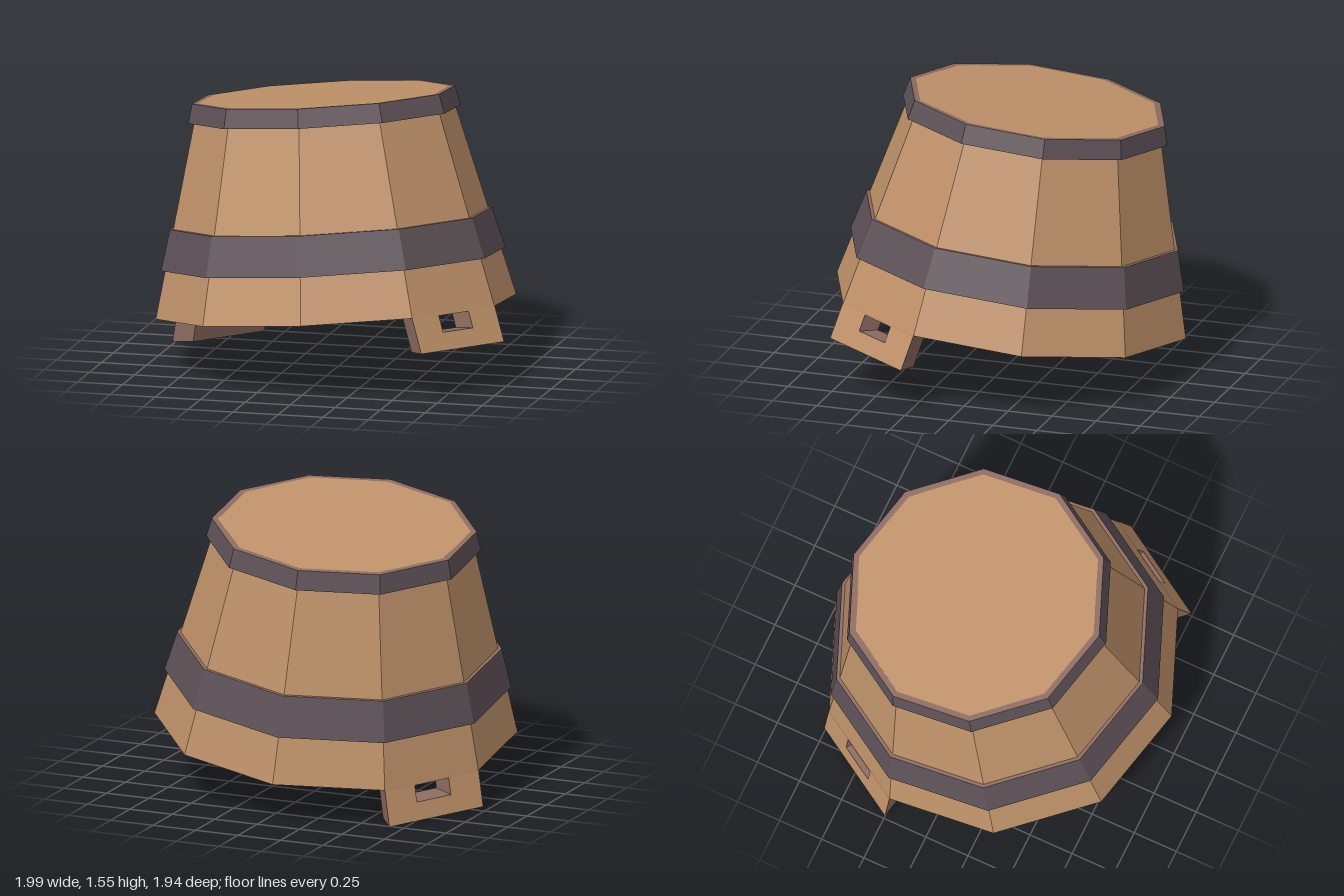
import * as THREE from 'three';

const SIDES = 10;
const START = THREE.MathUtils.degToRad(4);
const HEIGHT = 1.145;
const R_BOTTOM = 0.976;
const R_TOP = 0.68;

function makeMaterial(name, color) {
  const m = new THREE.MeshStandardMaterial({ color, flatShading: true });
  m.name = name;
  return m;
}

export function createModel() {
  const wood = makeMaterial('wood', 0xc0926a);
  const innerWood = makeMaterial('inner wood', 0x8e6b60);
  const iron = makeMaterial('iron', 0x5e5258);

  // Upturned bucket, leaning slightly to the back right
  const bucket = new THREE.Group();
  bucket.name = 'bucket';
  bucket.position.set(-0.015, 0.325, -0.005);
  bucket.quaternion.setFromUnitVectors(
    new THREE.Vector3(0, 1, 0),
    new THREE.Vector3(-0.088, 1, -0.1).normalize()
  );

  function add(name, geometry, material, parent = bucket) {
    const mesh = new THREE.Mesh(geometry, material);
    mesh.name = name;
    parent.add(mesh);
    return mesh;
  }

  // Ten-sided faceted ring from a [radius, height] profile
  function ring(name, profile, material) {
    const points = profile.map(([r, h]) => new THREE.Vector2(r, h));
    const geo = new THREE.LatheGeometry(points, SIDES, START, Math.PI * 2).toNonIndexed();
    geo.computeVertexNormals();
    return add(name, geo, material);
  }

  // Staves, closed base on top and hollow inside
  ring('staves', [[R_BOTTOM, 0], [R_TOP, HEIGHT]], wood);
  ring('base', [[R_TOP, HEIGHT], [0, HEIGHT]], wood);
  ring('inside', [[0, 1.08], [0.57, 1.08], [0.85, 0], [R_BOTTOM, 0]], innerWood);

  // Hoops: iron band with a paler upper edge
  function hoop(name, h0, r0, h1, r1) {
    const body = (h) => R_BOTTOM + (R_TOP - R_BOTTOM) * h / HEIGHT - 0.005;
    ring(name, [[body(h0), h0], [r0, h0], [r1, h1]], iron);
    ring(name + 'Edge', [[r1, h1], [body(h1), h1]], innerWood);
  }
  hoop('wideHoop', 0.257, 0.932, 0.476, 0.872);
  hoop('narrowHoop', 1.04, 0.738, HEIGHT, 0.712);

  // Handle lugs: long staves with a slot, one on each side
  const outline = new THREE.Shape([
    new THREE.Vector2(-0.301, -0.19), new THREE.Vector2(0.301, -0.19),
    new THREE.Vector2(0.301, 0), new THREE.Vector2(-0.301, 0),
  ]);
  outline.holes.push(new THREE.Path([
    new THREE.Vector2(-0.11, -0.095), new THREE.Vector2(-0.11, -0.006),
    new THREE.Vector2(0.11, -0.006), new THREE.Vector2(0.11, -0.095),
  ]));

  // Lean the lug outward with the staves and narrow it toward the inside
  function fitToStave(geometry, offset) {
    const geo = geometry.index ? geometry.toNonIndexed() : geometry;
    const p = geo.attributes.position;
    for (let i = 0; i < p.count; i++) {
      const depth = p.getZ(i) + offset;
      p.setX(i, p.getX(i) * (1 + depth * 1.08));
      p.setZ(i, 0.928 - p.getY(i) * 0.3 + depth);
    }
    geo.computeVertexNormals();
    return geo;
  }

  for (const [name, angle] of [['leftLug', 58], ['rightLug', 238]]) {
    const lug = new THREE.Group();
    lug.name = name;
    lug.rotation.y = THREE.MathUtils.degToRad(angle);
    const block = new THREE.ExtrudeGeometry(outline, { depth: 0.12, bevelEnabled: false });
    add(name + 'Block', fitToStave(block, -0.12), innerWood, lug);
    add(name + 'Face', fitToStave(new THREE.ShapeGeometry(outline), 0.003), wood, lug);
    bucket.add(lug);
  }

  const model = new THREE.Group();
  model.name = 'upturnedBucket';
  model.add(bucket);
  return model;
}
